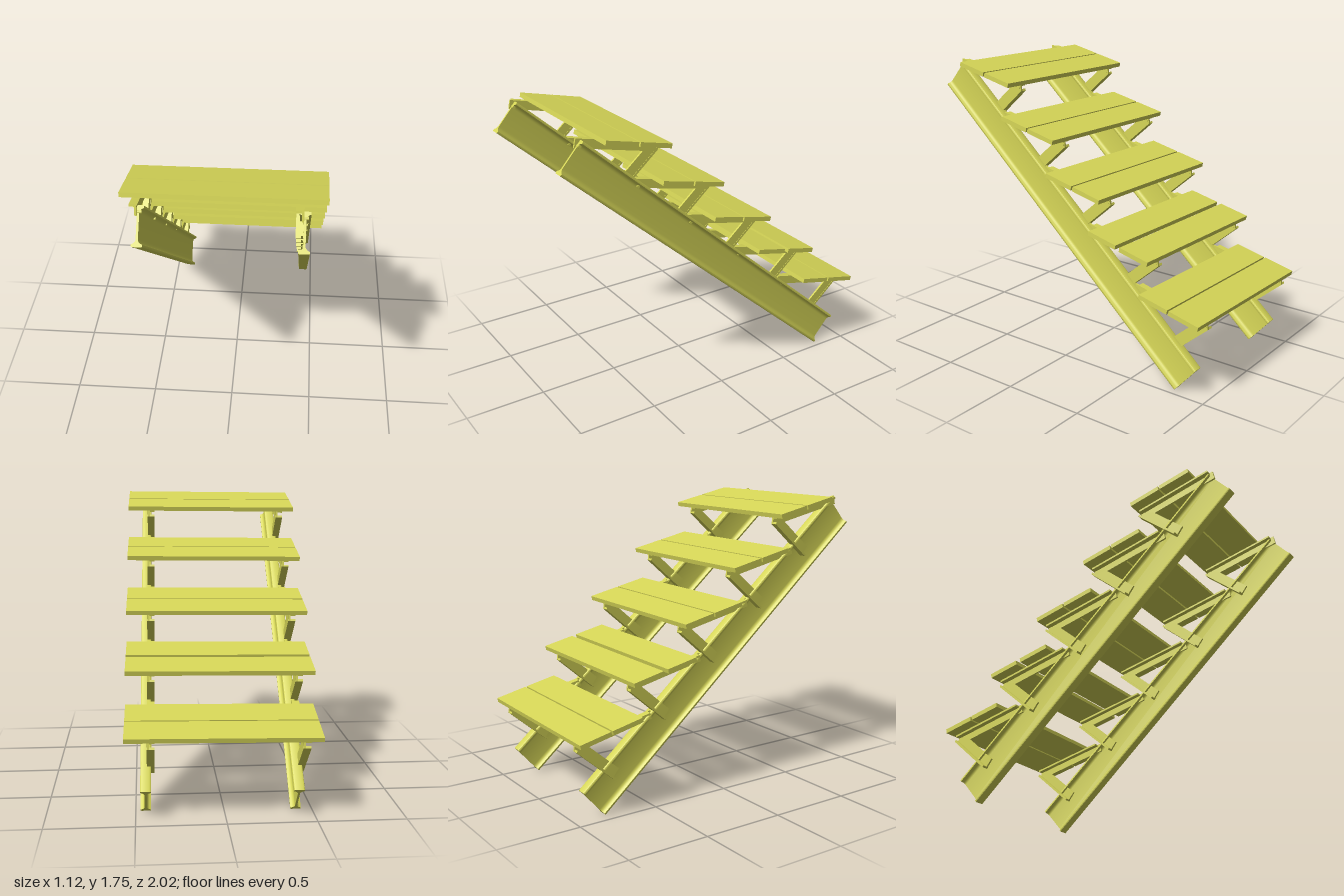
import * as THREE from 'three';
import { toCreasedNormals } from 'three/addons/utils/BufferGeometryUtils.js';

const paint = new THREE.MeshStandardMaterial({ color: 0xd6d657 });

const STEPS = 5, STEP_Z = -0.344, STEP_Y = -0.294;
const BEAM_X = 0.425, BEAM_LENGTH = 2.385;
const SLOPE = 0.7175;   // pitch of the side beams
const TILT = 0.22;      // forward tilt of the treads

function addMesh(parent, name, geometry) {
  const mesh = new THREE.Mesh(geometry, paint);
  mesh.name = name;
  parent.add(mesh);
  return mesh;
}

// Side profile given as [z, y] points, extruded from x0 to x1
function slab(points, x0, x1) {
  const shape = new THREE.Shape(points.map(([z, y]) => new THREE.Vector2(z, y)));
  const g = new THREE.ExtrudeGeometry(shape, { depth: x1 - x0, bevelEnabled: false });
  return g.rotateY(-Math.PI / 2).translate(x1, 0, 0);
}

// I-section with filleted web and rounded flange tips
function beamGeometry() {
  const h = 0.108, w = 0.03, web = 0.006, lip = 0.022;
  const s = new THREE.Shape();
  s.moveTo(-w + 0.008, -h);
  s.lineTo(w - 0.008, -h);
  s.quadraticCurveTo(w, -h, w, -h + 0.008);
  s.lineTo(w, -h + lip - 0.008);
  s.quadraticCurveTo(web, -h + lip, web, -h + lip + 0.02);
  s.lineTo(web, h - lip - 0.02);
  s.quadraticCurveTo(web, h - lip, w, h - lip + 0.008);
  s.lineTo(w, h - 0.008);
  s.quadraticCurveTo(w, h, w - 0.008, h);
  s.lineTo(-w + 0.008, h);
  s.quadraticCurveTo(-w, h, -w, h - 0.008);
  s.lineTo(-w, h - lip + 0.008);
  s.quadraticCurveTo(-web, h - lip, -web, h - lip - 0.02);
  s.lineTo(-web, -h + lip + 0.02);
  s.quadraticCurveTo(-web, -h + lip, -w, -h + lip - 0.008);
  s.lineTo(-w, -h + 0.008);
  s.quadraticCurveTo(-w, -h, -w + 0.008, -h);
  const g = new THREE.ExtrudeGeometry(s, { depth: BEAM_LENGTH, bevelEnabled: false, curveSegments: 5 });
  g.translate(0, 0, -BEAM_LENGTH / 2);
  return toCreasedNormals(g, 0.7).rotateX(-SLOPE);
}

// Point in the tread's own frame: s forward along the tread, t above it
const onTread = (s, t) => [
  0.377 + s * Math.cos(TILT) - t * Math.sin(TILT),
  1.675 + s * Math.sin(TILT) + t * Math.cos(TILT),
];
const treadSlab = (s0, s1, t0, t1, x0, x1) =>
  slab([onTread(s0, t0), onTread(s1, t0), onTread(s1, t1), onTread(s0, t1)], x0, x1);

// Angle-iron bracket: arm under the tread and a diagonal strut to the beam
function makeBracket() {
  const bracket = new THREE.Group();
  bracket.name = 'bracket';
  const legX = [-0.018, -0.006], flangeX = [-0.05, -0.006];
  addMesh(bracket, 'armLeg', treadSlab(0.015, 0.52, -0.08, -0.027, ...legX));
  addMesh(bracket, 'armFlange', treadSlab(0.015, 0.5, -0.039, -0.027, ...flangeX));
  addMesh(bracket, 'strutLeg', slab(
    [[0.479, 1.626], [0.399, 1.652], [0.393, 1.61], [0.634, 1.401], [0.677, 1.455]], -0.02, -0.008));
  addMesh(bracket, 'strutFlange', slab(
    [[0.393, 1.61], [0.634, 1.401], [0.642, 1.41], [0.399, 1.622]], ...flangeX));
  // Bolt through the beam web
  const bolt = new THREE.CylinderGeometry(0.01, 0.01, 0.034, 8).rotateZ(Math.PI / 2);
  const [z, y] = onTread(0.5, -0.065);
  addMesh(bracket, 'bolt', bolt).position.set(0, y, z);
  return bracket;
}

export function createModel() {
  const model = new THREE.Group();
  model.name = 'stairs';

  // Whole flight leans very slightly about its middle
  const flight = new THREE.Group();
  flight.name = 'flight';
  flight.position.y = 0.9;
  flight.rotation.set(0, -0.012, 0.01);
  const parts = new THREE.Group();
  parts.name = 'parts';
  parts.position.y = -0.9;
  flight.add(parts);
  model.add(flight);

  // Side beams
  const beam = beamGeometry();
  for (const side of [-1, 1]) {
    addMesh(parts, side < 0 ? 'rightBeam' : 'leftBeam', beam)
      .position.set(side * BEAM_X, 0.885, 0.035);
  }

  // Treads: two boards each, on a pair of brackets
  for (let i = 0; i < STEPS; i++) {
    const step = new THREE.Group();
    step.name = 'step' + (i + 1);
    step.position.set(0, i * STEP_Y, i * STEP_Z);
    const gap = i === 3 ? 0.03 : 0.01;
    addMesh(step, 'backBoard', treadSlab(0, 0.2, -0.027, 0, -0.544, 0.544));
    addMesh(step, 'frontBoard', treadSlab(0.2 + gap, 0.4 + gap, -0.027, 0, -0.544, 0.544));
    for (const side of [-1, 1]) {
      const bracket = makeBracket();
      bracket.position.x = side * BEAM_X;
      step.add(bracket);
    }
    parts.add(step);
  }
  return model;
}
